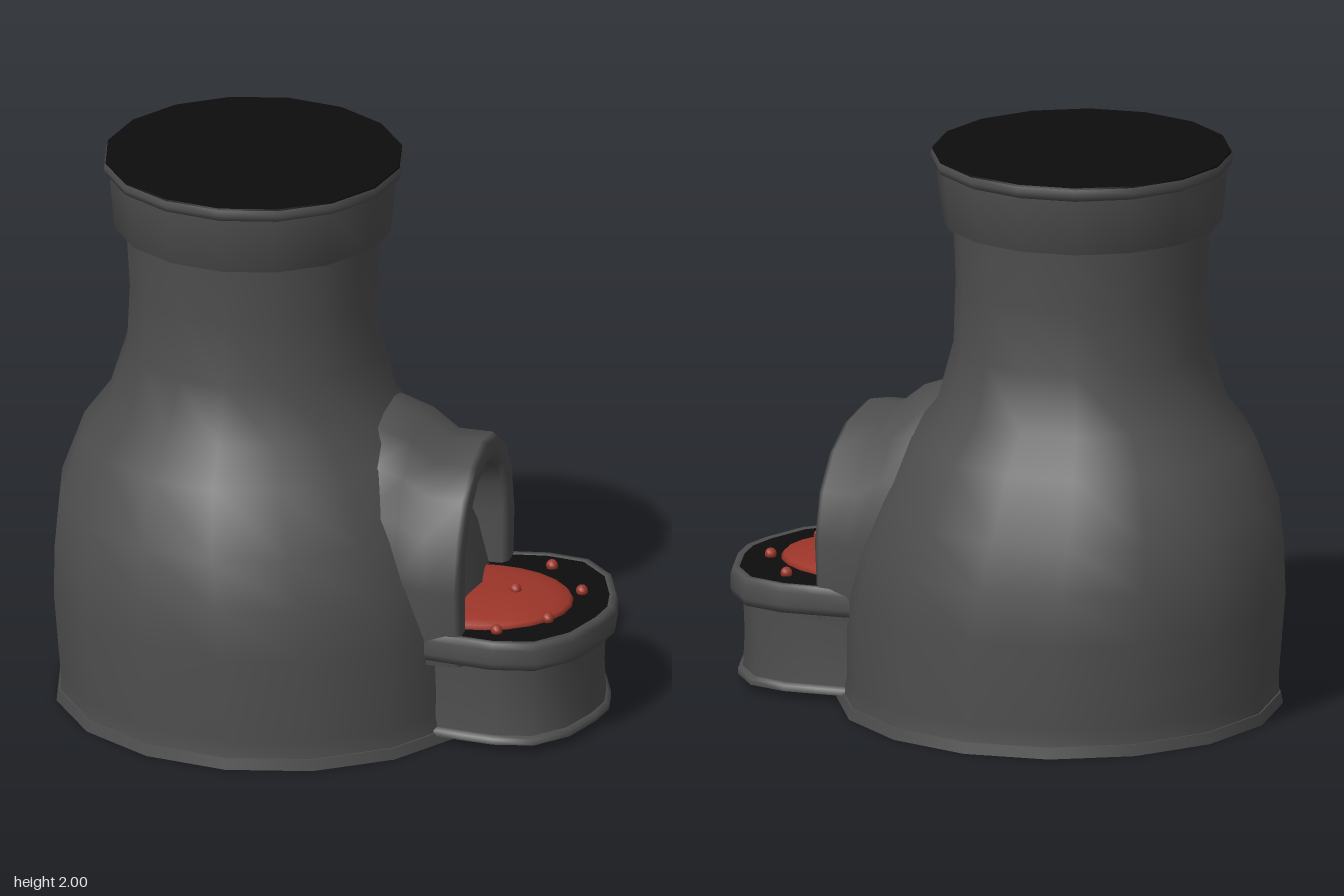
import * as THREE from 'three';

const stone = new THREE.MeshStandardMaterial({ color: 0x4e4e4e, side: THREE.DoubleSide });
stone.name = 'stone grey';
const soot = new THREE.MeshStandardMaterial({ color: 0x0d0d0d });
soot.name = 'soot black';
const ember = new THREE.MeshStandardMaterial({ color: 0x9c3529 });
ember.name = 'ember red';

const SIDES = 16;

function add(parent, name, geometry, material, x = 0, y = 0, z = 0) {
  const mesh = new THREE.Mesh(geometry, material);
  mesh.name = name;
  mesh.position.set(x, y, z);
  parent.add(mesh);
  return mesh;
}

// Smooth skin through rows of [x, y, z] points
function loft(rows) {
  const n = rows[0].length;
  const index = [];
  for (let i = 0; i < rows.length - 1; i++) {
    for (let j = 0; j < n - 1; j++) {
      const a = i * n + j;
      index.push(a, a + 1, a + n, a + 1, a + n + 1, a + n);
    }
  }
  const g = new THREE.BufferGeometry();
  g.setAttribute('position', new THREE.Float32BufferAttribute(rows.flat(2), 3));
  g.setIndex(index);
  g.computeVertexNormals();
  return g;
}

const lathe = (pts) => new THREE.LatheGeometry(pts.map(([r, y]) => new THREE.Vector2(r, y)), SIDES);

// Bulging body whose centre line leans back: [radius, y, centre x]
function bodyGeometry() {
  const profile = [
    [0.765, 0.035, -0.21], [0.758, 0.1, -0.215], [0.768, 0.4, -0.23], [0.745, 0.58, -0.25],
    [0.7, 0.75, -0.28], [0.605, 0.97, -0.295], [0.505, 1.1, -0.3], [0.447, 1.3, -0.295],
    [0.438, 1.53, -0.293], [0.45, 1.77, -0.295],
  ];
  const g = lathe(profile);
  const p = g.attributes.position;
  for (let i = 0; i < p.count; i++) p.setX(i, p.getX(i) + profile[i % profile.length][2]);
  return g;
}

// Arched mouth: half outlines as [z, y], mirrored, lofted outward then back inside
function archGeometry() {
  const outer = [[0.39, 0.3], [0.42, 0.58], [0.378, 0.76], [0.29, 0.885], [0.165, 0.965], [0, 1]];
  const inner = [[0.3, 0.3], [0.305, 0.6], [0.29, 0.72], [0.22, 0.81], [0.12, 0.875], [0, 0.895]];
  const mirror = (h) => [...h.map(([z, y]) => [-z, y]), ...h.slice(0, -1).reverse()];
  const o = mirror(outer), n = mirror(inner);
  // [x, height stretch, blend from outer to inner]
  const steps = [
    [0.1, 1.19, 0], [0.2, 1.17, 0], [0.31, 1.11, 0], [0.4, 1.005, 0], [0.52, 1, 0],
    [0.54, 0.995, 0.12], [0.54, 1, 0.75], [0.52, 1, 1], [0.28, 1, 1],
  ];
  return loft(steps.map(([x, k, t]) => o.map(([z, y], j) => [
    x,
    0.3 + (THREE.MathUtils.lerp(y, n[j][1], t) - 0.3) * k,
    THREE.MathUtils.lerp(z, n[j][0], t),
  ])));
}

// Rounded plan of the front hearth, scaled about x = 0.62
const halfPlan = [[0.3, 0.38], [0.54, 0.42], [0.66, 0.437], [0.81, 0.41], [0.92, 0.29], [0.98, 0.12], [1, 0]];
const plan = [...halfPlan, ...halfPlan.slice(0, -1).reverse().map(([x, z]) => [x, -z])];
const planRow = (y, s) => plan.map(([x, z]) => [x > 0.62 ? 0.62 + (x - 0.62) * s : x, y, z * s]);
const hearthLoft = (levels) => loft(levels.map(([y, s]) => planRow(y, s)));

function planFace(s) {
  const shape = new THREE.Shape(planRow(0, s).map(([x, , z]) => new THREE.Vector2(x, -z)));
  return new THREE.ShapeGeometry(shape).rotateX(-Math.PI / 2);
}

export function createModel() {
  const model = new THREE.Group();
  model.name = 'furnace';

  // Body and foot
  add(model, 'body', bodyGeometry(), stone);
  add(model, 'bodyFoot', new THREE.CylinderGeometry(0.77, 0.778, 0.04, SIDES), stone, -0.21, 0.02, 0);

  // Chimney collar, rim and sooty opening
  const chimney = new THREE.Group();
  chimney.name = 'chimney';
  chimney.position.x = -0.295;
  model.add(chimney);
  add(chimney, 'collar', lathe([[0.44, 1.75], [0.49, 1.75], [0.508, 1.95]]), stone);
  add(chimney, 'rim', lathe([[0.5, 1.945], [0.522, 1.955], [0.528, 1.975], [0.522, 1.994]]), stone);
  add(chimney, 'chimneyOpening', new THREE.CylinderGeometry(0.52, 0.522, 0.006, SIDES), soot, 0, 1.997, 0);

  // Mouth
  add(model, 'mouthArch', archGeometry(), stone);

  // Hearth in front of the mouth
  const hearth = new THREE.Group();
  hearth.name = 'hearth';
  model.add(hearth);
  add(hearth, 'hearthFoot', hearthLoft([[0.03, 0.935], [0.05, 0.935], [0.058, 0.89]]), stone);
  add(hearth, 'hearthWall', hearthLoft([[0.05, 0.89], [0.18, 0.875], [0.33, 0.89]]), stone);
  add(hearth, 'hearthRim', hearthLoft([
    [0.315, 0.88], [0.32, 0.985], [0.345, 1], [0.395, 1], [0.418, 0.98], [0.42, 0.93], [0.405, 0.9],
  ]), stone);
  add(hearth, 'hearthUnderside', planFace(0.935).scale(1, -1, 1), stone, 0, 0.03, 0);
  add(hearth, 'coalBed', planFace(0.92), soot, 0, 0.416, 0);

  // Glowing mound and loose embers
  const mound = new THREE.SphereGeometry(1, 24, 6, 0, Math.PI * 2, 0, Math.PI / 2);
  add(hearth, 'emberMound', mound, ember, 0.52, 0.416, 0.03).scale.set(0.33, 0.05, 0.29);
  const embers = [[0.7, 0.425, -0.3], [0.855, 0.425, -0.1], [0.65, 0.465, 0.035], [0.8, 0.428, 0.18], [0.65, 0.425, 0.32]];
  for (const [x, y, z] of embers) {
    add(hearth, 'looseEmber', new THREE.SphereGeometry(0.022, 8, 6), ember, x, y, z);
  }
  return model;
}
